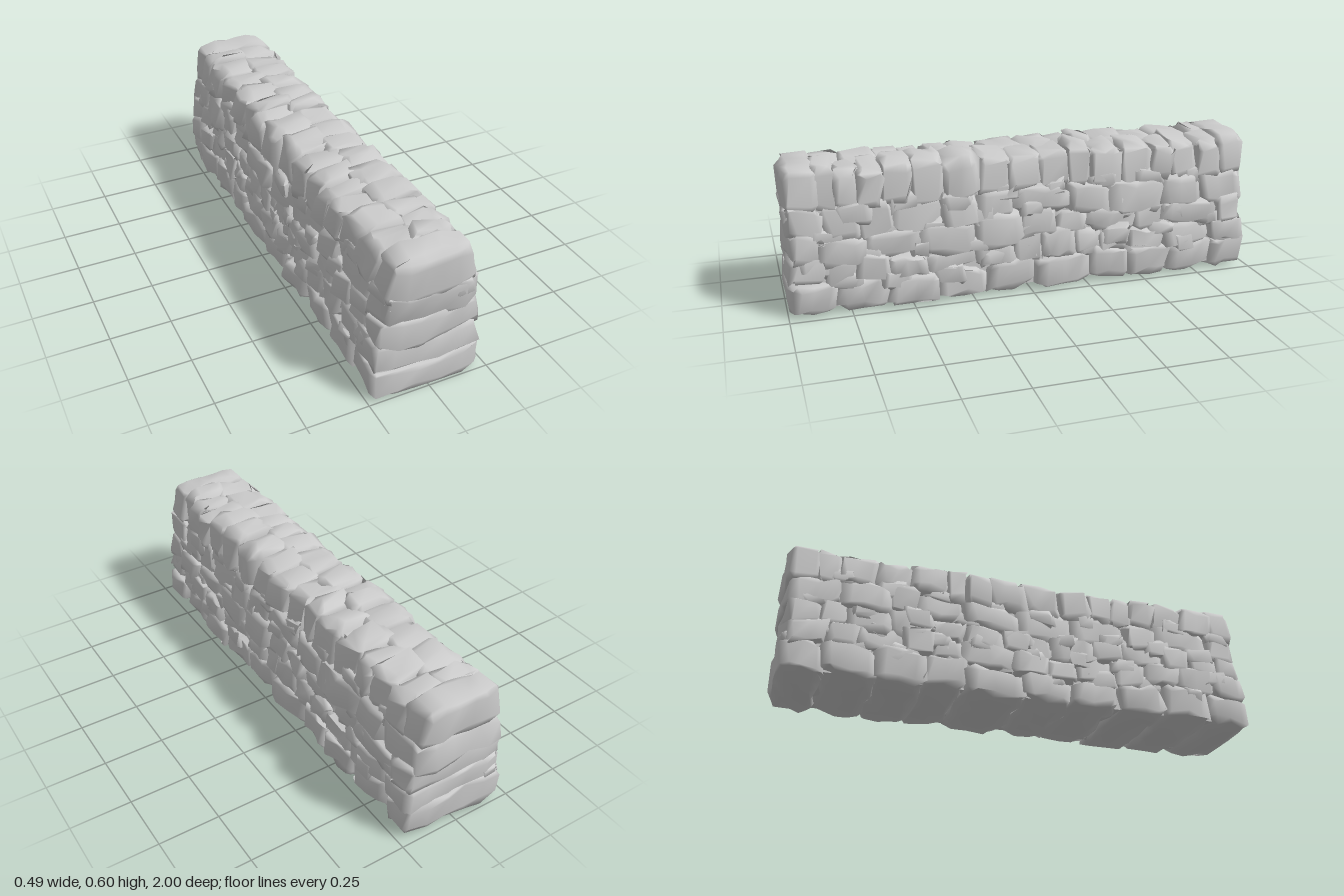
import * as THREE from 'three';
import { mergeVertices } from 'three/addons/utils/BufferGeometryUtils.js';

const material = new THREE.MeshStandardMaterial({ color: 0xcccccc });

// Small seeded generator, so the stones are the same every time
let seed = 11;
function rand(a = 0, b = 1) {
  seed = (seed * 16807) % 2147483647;
  return a + (b - a) * (seed / 2147483647);
}

// Battered wall: half thickness at a given height
const batter = [[0, 0.222], [0.12, 0.222], [0.3, 0.203], [0.43, 0.184], [0.53, 0.174], [0.575, 0.158], [0.61, 0.135]];
function halfWidth(y) {
  for (let i = 1; i < batter.length; i++) {
    const [y0, w0] = batter[i - 1], [y1, w1] = batter[i];
    if (y <= y1) return w0 + (w1 - w0) * Math.max(0, (y - y0) / (y1 - y0));
  }
  return batter[batter.length - 1][1];
}

// One rough stone: a coarse box with worn edges and uneven faces. x runs -1..1 across the wall.
function stone(name, [x0, x1], [y0, y1], [z0, z1], rough = 0.012) {
  let g = new THREE.BoxGeometry(2, 2, 2, x1 - x0 > 1.5 ? 5 : 3, 3, z1 - z0 > 0.16 ? 4 : 3);
  g.deleteAttribute('normal');
  g.deleteAttribute('uv');
  g = mergeVertices(g);
  const p = g.attributes.position;
  const half = [(x1 - x0) * 0.1, (y1 - y0) / 2, (z1 - z0) / 2];
  const tiltY = rand(-0.12, 0.12), tiltZ = rand(-0.18, 0.18), skew = rand(-0.05, 0.05);
  for (let i = 0; i < p.count; i++) {
    const v = [p.getX(i), p.getY(i), p.getZ(i)];
    const faces = v.filter((c) => Math.abs(c) > 0.99).length;
    const worn = [0, 0, 0.011, 0.022][faces];
    const [a, b, c] = v.map((t, k) => {
      if (Math.abs(t) > 0.99) return t * (1 - worn / half[k]);
      return Math.abs(t) > 0.3 ? Math.sign(t) * 0.6 : t;
    });
    const xn = (x0 + x1) / 2 + (a * (x1 - x0)) / 2 + c * skew;
    let y = (y0 + y1) / 2 + b * half[1] + c * half[2] * tiltY + rand(-rough, rough);
    let z = (z0 + z1) / 2 + c * half[2] + b * half[1] * tiltZ + rand(-rough, rough);
    // Courses wander gently up and down along the wall
    y += 0.016 * Math.sin(5 * z + 2 * xn) * Math.sin(Math.PI * THREE.MathUtils.clamp(y / 0.6, 0, 1));
    y = THREE.MathUtils.clamp(y, 0.012 - rand(0, 0.006), 0.61);
    z = THREE.MathUtils.clamp(z, -1 + rand(0, 0.008), 1 - rand(0, 0.008));
    p.setXYZ(i, xn * halfWidth(y) + rand(-rough, rough), y, z);
  }
  g.computeVertexNormals();
  const mesh = new THREE.Mesh(g, material);
  mesh.name = name;
  return mesh;
}

// Cut a length of wall into uneven pieces, returned as overlapping spans
function spans(from, to, min, max) {
  const list = [from];
  while (list[list.length - 1] < to - max * 1.15) list.push(list[list.length - 1] + rand(min, max));
  const last = list[list.length - 1];
  if (to - last > max) list.push((last + to) / 2);
  list.push(to);
  return list.slice(1).map((z, i) => [list[i] - 0.01, z + 0.01]);
}

// Span across the wall from an inner depth to the outer face of one side
const across = (side, inner, outer) => (side > 0 ? [inner, outer] : [-outer, -inner]);

export function createModel() {
  seed = 11;
  const wall = new THREE.Group();
  wall.name = 'dryStoneWall';

  // Rubble core behind the joints
  const coreShape = new THREE.Shape();
  coreShape.moveTo(-0.19, 0.03).lineTo(0.19, 0.03).lineTo(0.15, 0.46).lineTo(0.115, 0.555)
    .lineTo(-0.115, 0.555).lineTo(-0.15, 0.46).closePath();
  const coreGeometry = new THREE.ExtrudeGeometry(coreShape, { depth: 1.9, bevelEnabled: false });
  coreGeometry.translate(0, 0, -0.95);
  const core = new THREE.Mesh(coreGeometry, material);
  core.name = 'rubbleCore';
  wall.add(core);

  // Footing slabs, each running right through the wall
  const footing = new THREE.Group();
  footing.name = 'footing';
  for (const z of spans(-0.985, 0.985, 0.16, 0.26)) {
    footing.add(stone('footingStone', [-rand(0.96, 1.06), rand(0.96, 1.06)], [0.01, 0.155 + rand(-0.02, 0.01)], z));
  }
  wall.add(footing);

  // Face courses: bottom, top, shortest and longest stone
  const courses = [
    ['lowerStone', 0.135, 0.24, 0.09, 0.22],
    ['middleStone', 0.22, 0.335, 0.09, 0.25],
    ['upperStone', 0.31, 0.445, 0.1, 0.26],
  ];
  for (const [name, y0, y1, min, max] of courses) {
    const course = new THREE.Group();
    course.name = name + 'Course';
    const ends = [rand(0.12, 0.24), rand(0.12, 0.24)];
    for (const side of [-1, 1]) {
      for (const z of spans(-0.99 + ends[0], 0.99 - ends[1], min, max)) {
        course.add(stone(name, across(side, -0.1, rand(0.93, 1.06)),
          [y0 + rand(-0.022, 0.012), y1 + rand(-0.012, 0.022)], z));
      }
      // Through stone closing this end of the wall
      const z = [0.98 - ends[side > 0 ? 1 : 0], rand(0.98, 0.995)];
      course.add(stone(name, [-rand(0.96, 1.04), rand(0.96, 1.04)], [y0 - 0.008, y1 + 0.008],
        side > 0 ? z : [-z[1], -z[0]]));
    }
    wall.add(course);
  }

  // Small wedged stones bridging the joints
  const wedges = new THREE.Group();
  wedges.name = 'wedgeStones';
  for (let i = 0; i < 72; i++) {
    const side = i % 2 ? 1 : -1;
    const y = [0.14, 0.325, 0.23, 0.43][(i >> 1) % 4] + rand(-0.025, 0.025);
    const z = -0.93 + (i / 71) * 1.86, h = rand(0.03, 0.05), l = rand(0.04, 0.08);
    wedges.add(stone('wedgeStone', across(side, 0.5, rand(0.94, 1.06)), [y - h, y + h], [z - l, z + l], 0.01));
  }
  wall.add(wedges);

  // Coping: uneven upright stones from each side meeting near the middle
  const coping = new THREE.Group();
  coping.name = 'coping';
  for (const side of [-1, 1]) {
    for (const z of spans(-0.87, 0.87, 0.08, 0.17)) {
      coping.add(stone('copingStone', across(side, -0.2, rand(0.92, 1.06)),
        [0.415 + rand(-0.015, 0.015), rand(0.575, 0.604)], z, 0.014));
    }
    const end = [0.85, 0.99];
    coping.add(stone('copingEndStone', [-1, 1], [0.42, 0.597], side > 0 ? end : [-0.99, -0.85], 0.009));
  }
  wall.add(coping);

  return wall;
}
